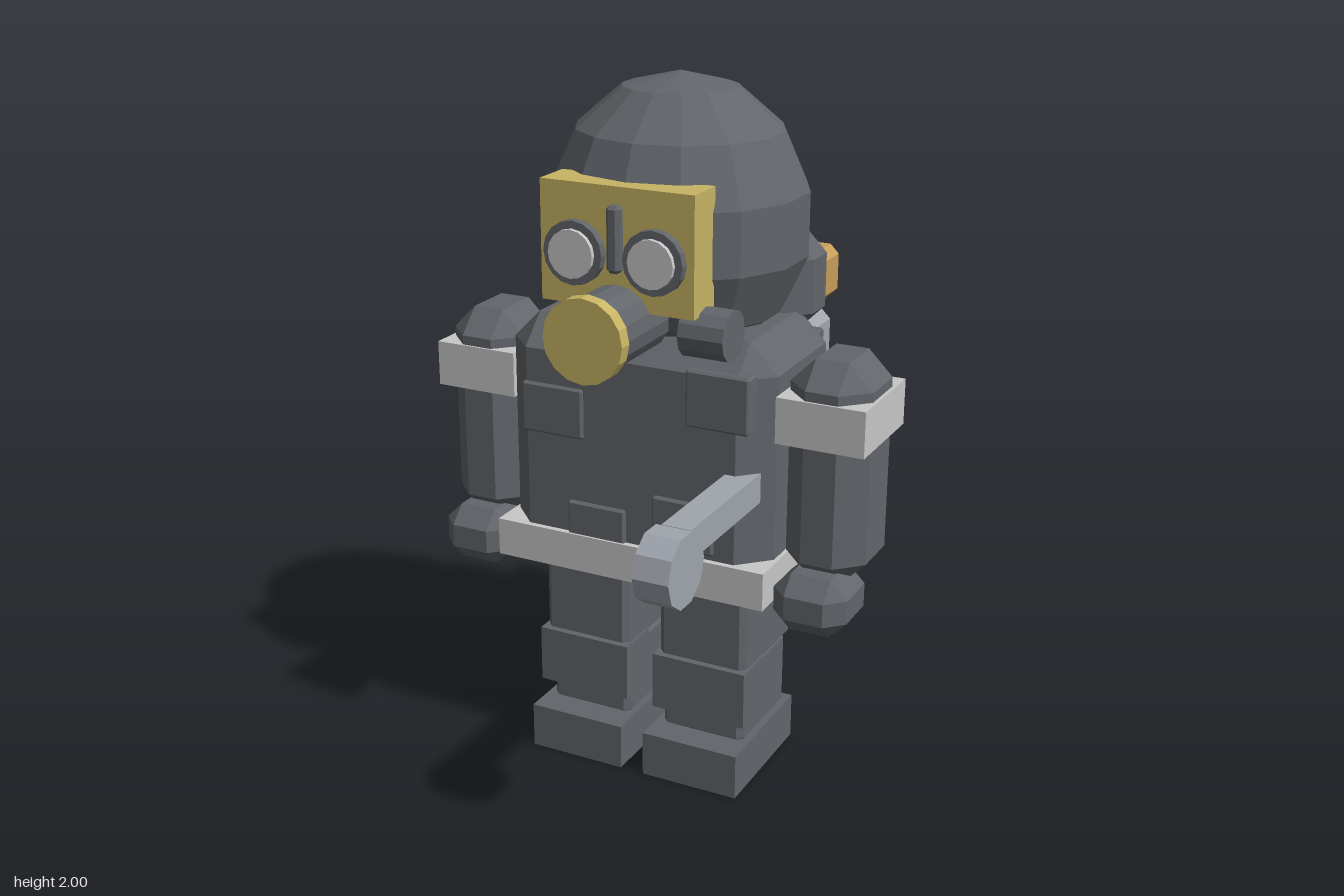
import * as THREE from 'three';
import { ConvexGeometry } from 'three/addons/geometries/ConvexGeometry.js';

const material = (name, color) => {
  const m = new THREE.MeshStandardMaterial({ color });
  m.name = name;
  return m;
};

// Faceted copy of a geometry
function faceted(geo) {
  const g = geo.index ? geo.toNonIndexed() : geo;
  g.computeVertexNormals();
  return g;
}

// Box given by its [min, max] ranges, with every edge cut by c
function cutBox(x, y, z, c = 0) {
  const size = [x, y, z].map(r => r[1] - r[0]);
  const mid = [x, y, z].map(r => (r[0] + r[1]) / 2);
  let geo;
  if (c === 0) {
    geo = new THREE.BoxGeometry(...size);
  } else {
    const points = [];
    for (const sx of [-1, 1]) for (const sy of [-1, 1]) for (const sz of [-1, 1]) {
      const s = [sx, sy, sz];
      for (let axis = 0; axis < 3; axis++) {
        points.push(new THREE.Vector3(...s.map((v, i) => v * (size[i] / 2 - (i === axis ? 0 : c)))));
      }
    }
    geo = new ConvexGeometry(points);
  }
  return geo.translate(...mid);
}

// Round part lying along x or z
function disc(axis, radius, length, sides, x, y, z) {
  const g = new THREE.CylinderGeometry(radius, radius, length, sides);
  if (axis === 'z') g.rotateX(Math.PI / 2);
  else g.rotateZ(Math.PI / 2);
  return faceted(g.translate(x, y, z));
}

export function createModel() {
  const suit = material('suit grey', 0x62666b);
  const band = material('pale band', 0xc8c8c8);
  const brass = material('mask yellow', 0xc8b464);
  const steel = material('steel grey', 0xa0a5ad);
  const orange = material('canister orange', 0xc89e5a);

  const model = new THREE.Group();
  const add = (name, geo, mat) => {
    const mesh = new THREE.Mesh(geo, mat);
    mesh.name = name;
    model.add(mesh);
  };
  // The same box on both sides
  const addPair = (name, x, y, z, c, mat) => {
    add(name + 'Left', cutBox(x, y, z, c), mat);
    add(name + 'Right', cutBox([-x[1], -x[0]], y, z, c), mat);
  };

  // Legs and boots
  addPair('thigh', [0.05, 0.322], [0.345, 0.66], [-0.265, 0.065], 0.018, suit);
  addPair('shin', [0.055, 0.312], [0.12, 0.36], [-0.255, 0.05], 0.018, suit);
  addPair('kneePad', [0.042, 0.33], [0.2, 0.37], [-0.05, 0.085], 0, suit);
  addPair('boot', [0.036, 0.332], [0, 0.135], [-0.268, 0.137], 0, suit);

  // Torso, belt and pockets
  add('torso', cutBox([-0.403, 0.403], [0.613, 1.345], [-0.35, 0.147], 0.083), suit);
  add('belt', cutBox([-0.415, 0.415], [0.625, 0.735], [-0.37, 0.165]), band);
  const pockets = [
    [[-0.33, -0.14], [1.02, 1.165]],
    [[0.175, 0.36], [1.115, 1.275]],
    [[0.075, 0.26], [0.75, 0.895]],
    [[-0.19, -0.01], [0.68, 0.832]],
  ];
  for (const [x, y] of pockets) add('chestPocket', cutBox(x, y, [0.1, 0.158], 0.006), suit);
  addPair('backPocket', [0.175, 0.36], [1.115, 1.275], [-0.358, -0.3], 0.006, suit);

  // Arms
  addPair('arm', [0.412, 0.645], [0.675, 1.307], [-0.212, 0.073], 0.07, suit);
  addPair('armBand', [0.403, 0.655], [1.08, 1.21], [-0.22, 0.08], 0, band);
  addPair('hand', [0.42, 0.633], [0.557, 0.725], [-0.08, 0.15], 0.05, suit);

  // Helmet with rear side pads
  const dome = new THREE.SphereGeometry(1, 14, 7).rotateY(Math.PI / 2).scale(0.373, 0.4, 0.357);
  add('helmet', faceted(dome.translate(0, 1.6, -0.16)), suit);
  addPair('helmetPad', [0.1, 0.355], [1.25, 1.575], [-0.455, -0.195], 0.085, suit);

  // Breathing mask
  add('mask', cutBox([-0.225, 0.225], [1.43, 1.757], [0.09, 0.21]), brass);
  add('noseRidge', cutBox([-0.02, 0.02], [1.53, 1.71], [0.19, 0.235], 0.01), suit);
  for (const side of [-1, 1]) {
    add('eyeRim', disc('z', 0.087, 0.04, 16, side * 0.117, 1.573, 0.215), suit);
    add('eyeLens', disc('z', 0.066, 0.05, 16, side * 0.117, 1.573, 0.223), band);
  }
  add('filterBarrel', disc('z', 0.105, 0.26, 16, 0, 1.393, 0.23), suit);
  add('filterCap', disc('z', 0.116, 0.04, 16, 0, 1.393, 0.377), brass);
  add('cheekValve', disc('x', 0.07, 0.13, 12, 0.24, 1.38, 0.138), suit);

  // Forward rod with wheel-shaped head
  add('rod', cutBox([0.29, 0.372], [0.91, 0.995], [0.05, 0.52]), steel);
  add('rodHead', disc('x', 0.1, 0.1, 10, 0.335, 0.908, 0.57), steel);

  // Backpack and canister
  add('backpack', cutBox([-0.3, 0.3], [0.67, 1.305], [-0.62, -0.32], 0.066), steel);
  add('canister', cutBox([0.12, 0.285], [1.28, 1.44], [-0.67, -0.36], 0.027), orange);

  return model;
}
